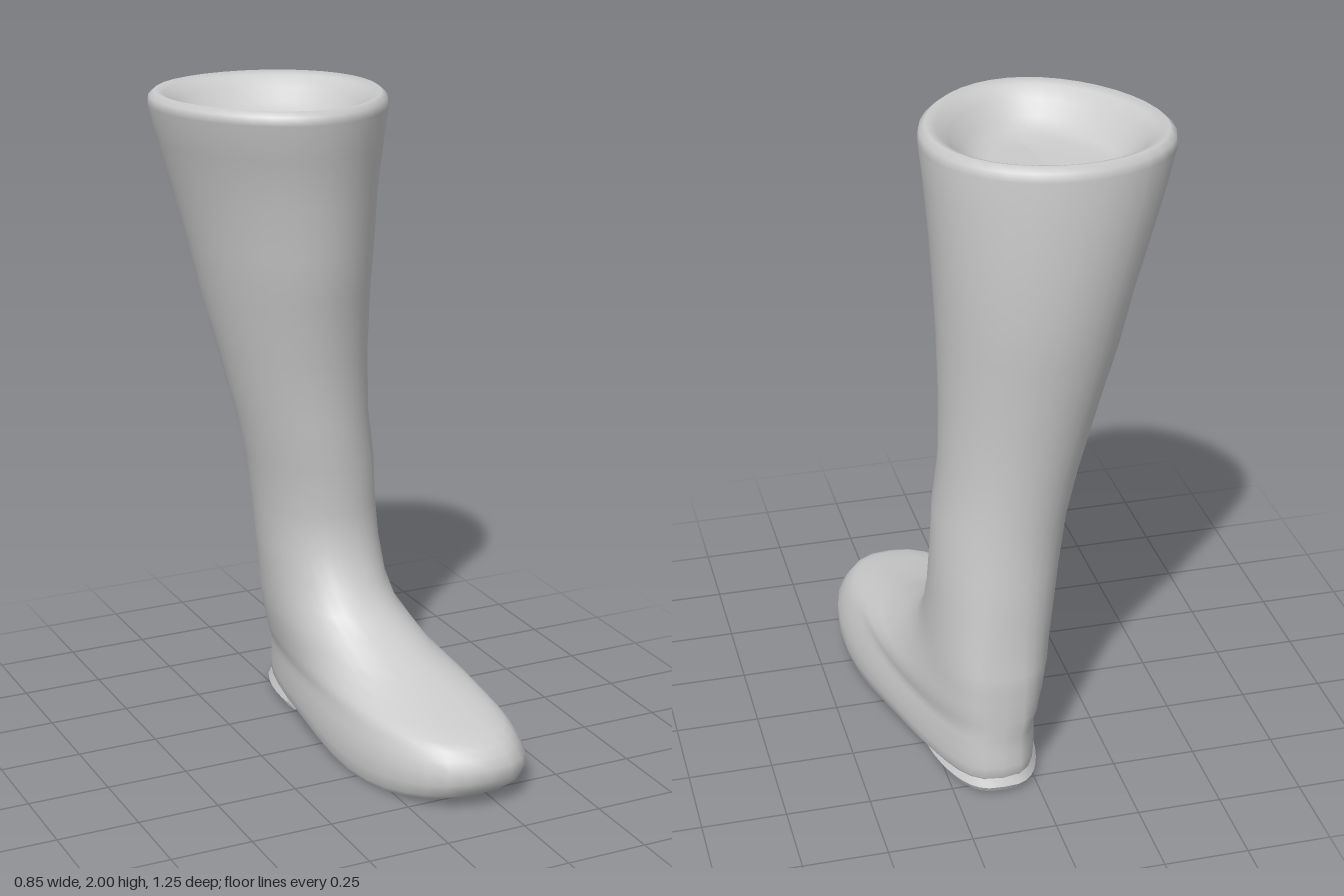
import * as THREE from 'three';
import { toCreasedNormals } from 'three/addons/utils/BufferGeometryUtils.js';

const SEGMENTS = 36;
const { smoothstep, lerp } = THREE.MathUtils;

// Height of the sole: toe spring in front, flat ball, raised arch behind
const soleHeight = (z) =>
  z > 0.25 ? 0.045 * ((z - 0.25) / 0.35) ** 2 : 0.045 * smoothstep(-z, -0.25, 0.2);

// Low levels follow the sole, higher ones stay horizontal
const followSole = (p) => {
  if (p.y < 0.2) p.y += soleHeight(p.z) * (1 - p.y / 0.2);
};

// Lofts egg-shaped rings: [y, zBack, zFront, xBack, xFront, halfWidthBack, halfWidthFront]
// The foot is blunter than the round leg
function loft(rows, warp) {
  const positions = [], index = [];
  const p = new THREE.Vector3();
  rows.forEach(([y, zb, zf, cb, cf, hb, hf], i) => {
    for (let j = 0; j < SEGMENTS; j++) {
      const a = (j / SEGMENTS) * Math.PI * 2;
      const t = (Math.cos(a) + 1) / 2, s = Math.sin(a);
      const power = lerp(lerp(0.65, 0.82, t), 1, smoothstep(y, 0.2, 0.9));
      const side = Math.sign(s) * Math.abs(s) ** power;
      p.set(lerp(cb, cf, t) + lerp(hb, hf, t) * side, y, lerp(zb, zf, t));
      warp(p);
      positions.push(p.x, p.y, p.z);
      if (i === rows.length - 1) continue;
      const k = i * SEGMENTS + j, n = i * SEGMENTS + (j + 1) % SEGMENTS;
      index.push(k, n, k + SEGMENTS, n, n + SEGMENTS, k + SEGMENTS);
    }
  });
  const geometry = new THREE.BufferGeometry();
  geometry.setAttribute('position', new THREE.Float32BufferAttribute(positions, 3));
  geometry.setIndex(index);
  geometry.computeVertexNormals();
  return geometry;
}

// A ring squeezed to its centre line, used to close an end
const collapse = ([y, zb, zf, cb, cf]) => [y, zb, zf, cb, cf, 0, 0];

// A ring moved inwards at a new height
const inset = ([, zb, zf, cb, cf, hb, hf], y, d) =>
  [y, zb + d, zf - d, cb, cf, hb - d, hf - d];

export function createModel() {
  const boot = new THREE.Group();
  boot.name = 'boot';
  const material = new THREE.MeshStandardMaterial({ color: 0xcccccc });
  const add = (name, geometry) => {
    const mesh = new THREE.Mesh(geometry, material);
    mesh.name = name;
    boot.add(mesh);
  };

  // Foot, from the sole edge up to the instep
  const foot = [
    [0.0, -0.55, 0.585, 0.11, 0.195, 0.165, 0.262],
    [0.02, -0.56, 0.612, 0.11, 0.203, 0.175, 0.282],
    [0.06, -0.562, 0.628, 0.11, 0.208, 0.177, 0.292],
    [0.11, -0.558, 0.628, 0.11, 0.208, 0.177, 0.29],
    [0.15, -0.556, 0.61, 0.11, 0.203, 0.177, 0.273],
    [0.18, -0.556, 0.59, 0.108, 0.2, 0.177, 0.26],
    [0.2, -0.556, 0.555, 0.105, 0.195, 0.177, 0.25],
    [0.22, -0.556, 0.47, 0.102, 0.19, 0.178, 0.243],
    [0.24, -0.556, 0.37, 0.1, 0.185, 0.179, 0.235],
    [0.27, -0.556, 0.26, 0.1, 0.168, 0.18, 0.22],
    [0.3, -0.556, 0.18, 0.098, 0.15, 0.18, 0.208],
    [0.35, -0.556, 0.09, 0.095, 0.132, 0.181, 0.193],
    [0.4, -0.556, 0.005, 0.095, 0.115, 0.182, 0.18],
    [0.47, -0.545, -0.055, 0.09, 0.105, 0.182, 0.176],
  ];

  // Leg, leaning outwards and widening to the top
  const leg = [
    [0.58, -0.545, -0.1, 0.08, 0.1, 0.183, 0.177],
    [0.7, -0.537, -0.112, 0.07, 0.09, 0.19, 0.178],
    [0.85, -0.532, -0.093, 0.055, 0.07, 0.2, 0.184],
    [1.0, -0.54, -0.086, 0.03, 0.04, 0.208, 0.194],
    [1.2, -0.56, -0.065, 0, 0.015, 0.238, 0.212],
    [1.4, -0.595, -0.02, -0.025, -0.01, 0.275, 0.233],
    [1.55, -0.612, 0.012, -0.04, -0.02, 0.303, 0.245],
    [1.7, -0.622, 0.03, -0.06, -0.03, 0.335, 0.26],
    [1.85, -0.625, 0.065, -0.08, -0.045, 0.367, 0.285],
    [1.96, -0.622, 0.095, -0.09, -0.06, 0.39, 0.305],
  ];

  // Soft rim sloping into the bowl-shaped hollow
  const top = leg[leg.length - 1];
  const hollow = [
    inset(top, 1.985, 0.004), inset(top, 2.0, 0.022), inset(top, 1.99, 0.05),
    inset(top, 1.96, 0.085), inset(top, 1.92, 0.12), inset(top, 1.895, 0.155),
    inset(top, 1.885, 0.19), collapse(inset(top, 1.88, 0.24)),
  ];
  add('upper', loft([...foot, ...leg, ...hollow], followSole));

  // Sole
  add('sole', loft([collapse(foot[0]), foot[0]], followSole));

  // Heel block with a straight front face, its top hidden in the foot
  const heelBase = [0.012, -0.558, -0.06, 0.108, 0.13, 0.135, 0.17];
  const heel = [
    collapse(heelBase), heelBase,
    [0.028, -0.566, -0.06, 0.108, 0.13, 0.142, 0.177],
    [0.06, -0.552, -0.06, 0.108, 0.13, 0.125, 0.165],
  ];
  const straightFront = (p) => { p.z = Math.min(p.z, -0.24); };
  add('heel', toCreasedNormals(loft(heel, straightFront), 0.8));

  return boot;
}
